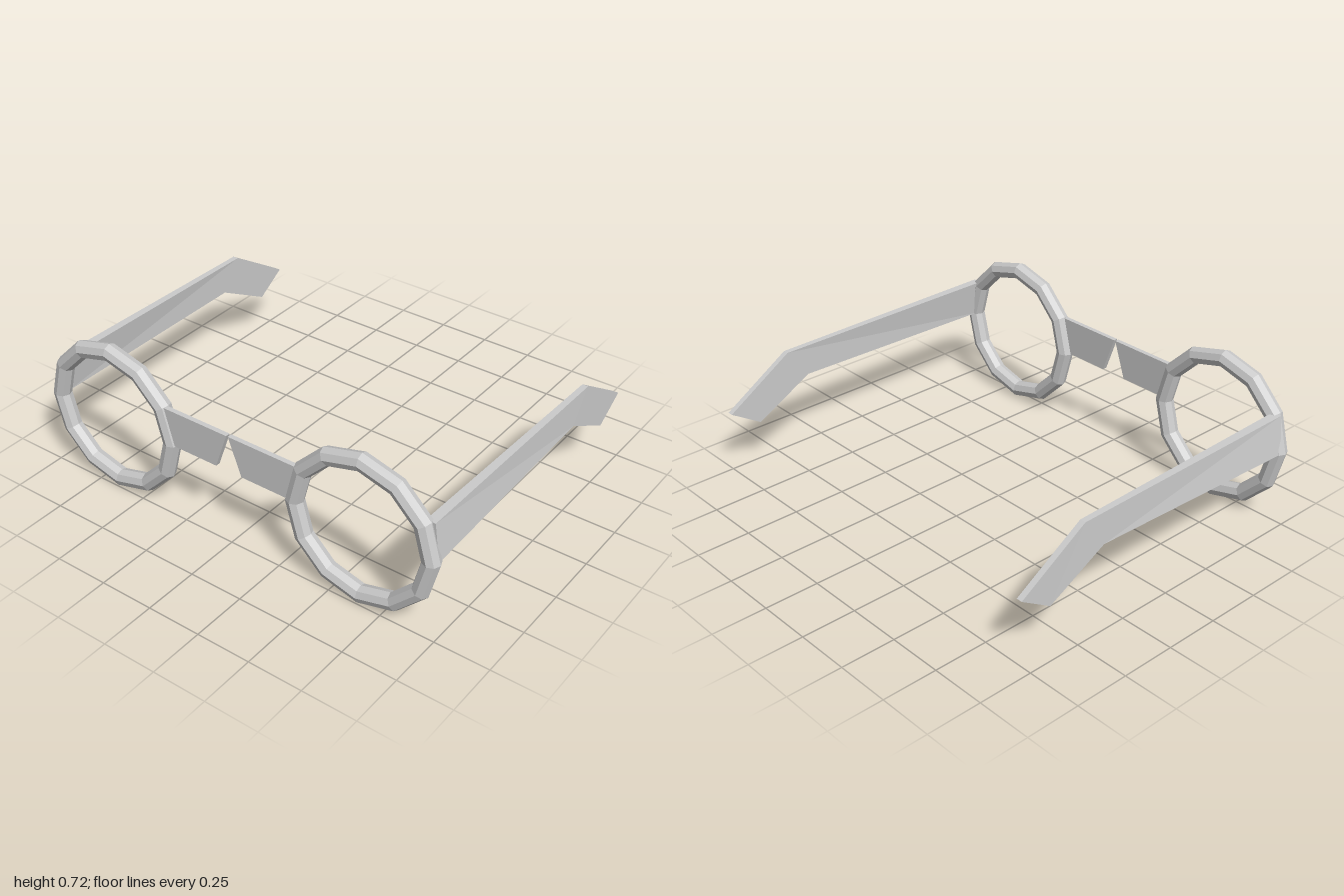
import * as THREE from 'three';

const material = new THREE.MeshStandardMaterial({ color: 0xcccccc, flatShading: true });

function part(name, geometry, parent) {
  const mesh = new THREE.Mesh(geometry, material);
  mesh.name = name;
  parent.add(mesh);
  return mesh;
}

// Joins four-cornered cross-sections (front to back) into a closed bar.
// Corners: top inner, top outer, bottom outer, bottom inner.
function loft(sections) {
  const index = [0, 2, 1, 0, 3, 2];
  const last = (sections.length - 1) * 4;
  for (let i = 0; i < last; i += 4) {
    for (let j = 0; j < 4; j++) {
      const a = i + j, b = i + (j + 1) % 4;
      index.push(a, b, b + 4, a, b + 4, a + 4);
    }
  }
  index.push(last, last + 1, last + 2, last, last + 2, last + 3);
  const geometry = new THREE.BufferGeometry();
  geometry.setAttribute('position', new THREE.Float32BufferAttribute(sections.flat(2), 3));
  geometry.setIndex(index);
  const flat = geometry.toNonIndexed();
  flat.computeVertexNormals();
  return flat;
}

// Cross-section from its top and bottom edges: [inner x, outer x, y, z]
const section = (t, b) => [
  [t[0], t[2], t[3]], [t[1], t[2], t[3]], [b[1], b[2], b[3]], [b[0], b[2], b[3]],
];

function createHalf(name) {
  const half = new THREE.Group();
  half.name = name;

  // Twelve-sided lens rim
  part('rim', new THREE.TorusGeometry(0.32, 0.04, 8, 12), half).position.set(0.64, 0.365, 0.725);

  // Half of the nose bridge, with a slanted inner edge
  const outline = new THREE.Shape([
    [0.004, 0.54], [0.066, 0.368], [0.31, 0.368], [0.36, 0.54],
  ].map(([x, y]) => new THREE.Vector2(x, y)));
  part('bridge', new THREE.ExtrudeGeometry(outline, { depth: 0.022, bevelEnabled: false }), half)
    .position.z = 0.724;

  // Temple arm, tapering back to a drooping ear hook
  part('temple', loft([
    section([0.92, 0.963, 0.54, 0.715], [0.943, 0.985, 0.365, 0.715]),
    section([0.938, 0.965, 0.523, -0.445], [0.938, 0.967, 0.38, -0.34]),
    section([0.938, 0.965, 0.32, -0.765], [0.938, 0.965, 0.228, -0.618]),
  ]), half);
  return half;
}

export function createModel() {
  const model = new THREE.Group();
  model.name = 'glasses';
  const left = createHalf('leftHalf');
  const right = createHalf('rightHalf');
  right.scale.x = -1;
  model.add(left, right);
  return model;
}
